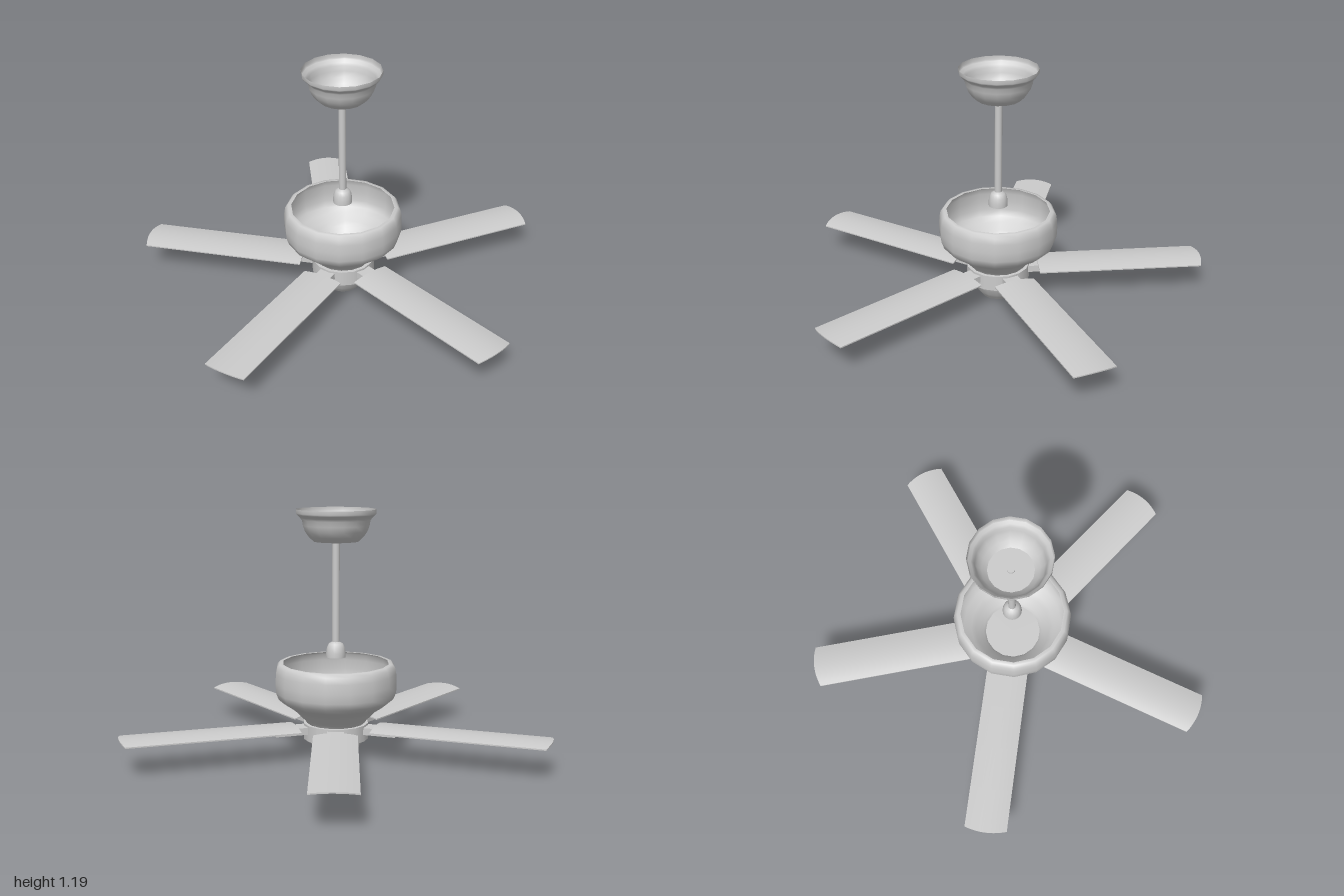
import * as THREE from 'three';

const material = new THREE.MeshStandardMaterial({ color: 0xcccccc, side: THREE.DoubleSide });

function addMesh(parent, name, geometry) {
  const mesh = new THREE.Mesh(geometry, material);
  mesh.name = name;
  parent.add(mesh);
  return mesh;
}

// Turned part from [radius, height] pairs, listed bottom to top
function addTurned(parent, name, profile, sides = 16) {
  const points = profile.map(([r, y]) => new THREE.Vector2(r, y));
  return addMesh(parent, name, new THREE.LatheGeometry(points, sides));
}

// Flat disc closing a turned part
function addDisc(parent, name, radius, y, up = false, sides = 16) {
  const geometry = new THREE.CircleGeometry(radius, sides);
  geometry.rotateX(up ? -Math.PI / 2 : Math.PI / 2);
  addMesh(parent, name, geometry).position.y = y;
}

// Thin arched plank along +z with a rounded tip
function bladeGeometry() {
  const inner = 0.2, outer = 1.017, width = 0.208;
  const length = outer - inner;
  const geometry = new THREE.BoxGeometry(width, 0.006, length, 10, 1, 4);
  const p = geometry.attributes.position;
  for (let i = 0; i < p.count; i++) {
    const arch = 1 - (2 * p.getX(i) / width) ** 2;
    const along = p.getZ(i) / length + 0.5;
    p.setY(i, p.getY(i) + 0.153 + 0.012 * arch);
    p.setZ(i, inner + along * (length + 0.018 * arch));
  }
  geometry.computeVertexNormals();
  return geometry;
}

export function createModel() {
  const fan = new THREE.Group();
  fan.name = 'ceilingFan';
  const body = new THREE.Group();
  body.name = 'fanBody';
  body.position.z = -0.079;
  fan.add(body);

  // Ceiling canopy, open at the top
  addTurned(body, 'canopy', [
    [0.106, 1.04], [0.13, 1.062], [0.148, 1.088], [0.158, 1.115],
    [0.162, 1.14], [0.172, 1.152], [0.185, 1.165],
  ]);
  addTurned(body, 'canopyRim', [[0.185, 1.165], [0.19, 1.172], [0.19, 1.19]]);
  addDisc(body, 'canopyBase', 0.106, 1.04);

  // Down rod and its bell-shaped end
  const rod = addMesh(body, 'downRod', new THREE.CylinderGeometry(0.018, 0.018, 0.5, 16));
  rod.position.y = 0.8;
  addTurned(body, 'rodBell', [
    [0.047, 0.488], [0.047, 0.51], [0.043, 0.535], [0.034, 0.553], [0.018, 0.562],
  ]);
  addDisc(body, 'rodBellBase', 0.047, 0.488);

  // Motor bowl with a rolled rim and open top
  addTurned(body, 'motorHousing', [
    [0.14, 0.17], [0.15, 0.185], [0.172, 0.205], [0.19, 0.225], [0.212, 0.243],
    [0.25, 0.268], [0.278, 0.292], [0.291, 0.325], [0.293, 0.37], [0.291, 0.415],
    [0.285, 0.445], [0.272, 0.461], [0.255, 0.461],
  ]);

  // Hub and lower cup
  addTurned(body, 'hub', [[0.157, 0.092], [0.157, 0.17]]);
  addDisc(body, 'hubTop', 0.157, 0.17, true);
  addDisc(body, 'hubBase', 0.157, 0.092);
  addTurned(body, 'lowerCup', [
    [0.08, 0], [0.092, 0.016], [0.108, 0.036], [0.118, 0.06], [0.127, 0.075], [0.13, 0.092],
  ]);
  addDisc(body, 'lowerCupBase', 0.08, 0);

  // Five blades, each on a bracket
  const blade = bladeGeometry();
  const bracket = new THREE.BoxGeometry(0.08, 0.034, 0.19);
  bracket.translate(0, 0.143, 0.212);
  for (let i = 0; i < 5; i++) {
    const arm = new THREE.Group();
    arm.name = 'bladeArm' + (i + 1);
    arm.rotation.y = i * Math.PI * 2 / 5;
    addMesh(arm, 'blade', blade);
    addMesh(arm, 'bladeBracket', bracket);
    body.add(arm);
  }
  return fan;
}
